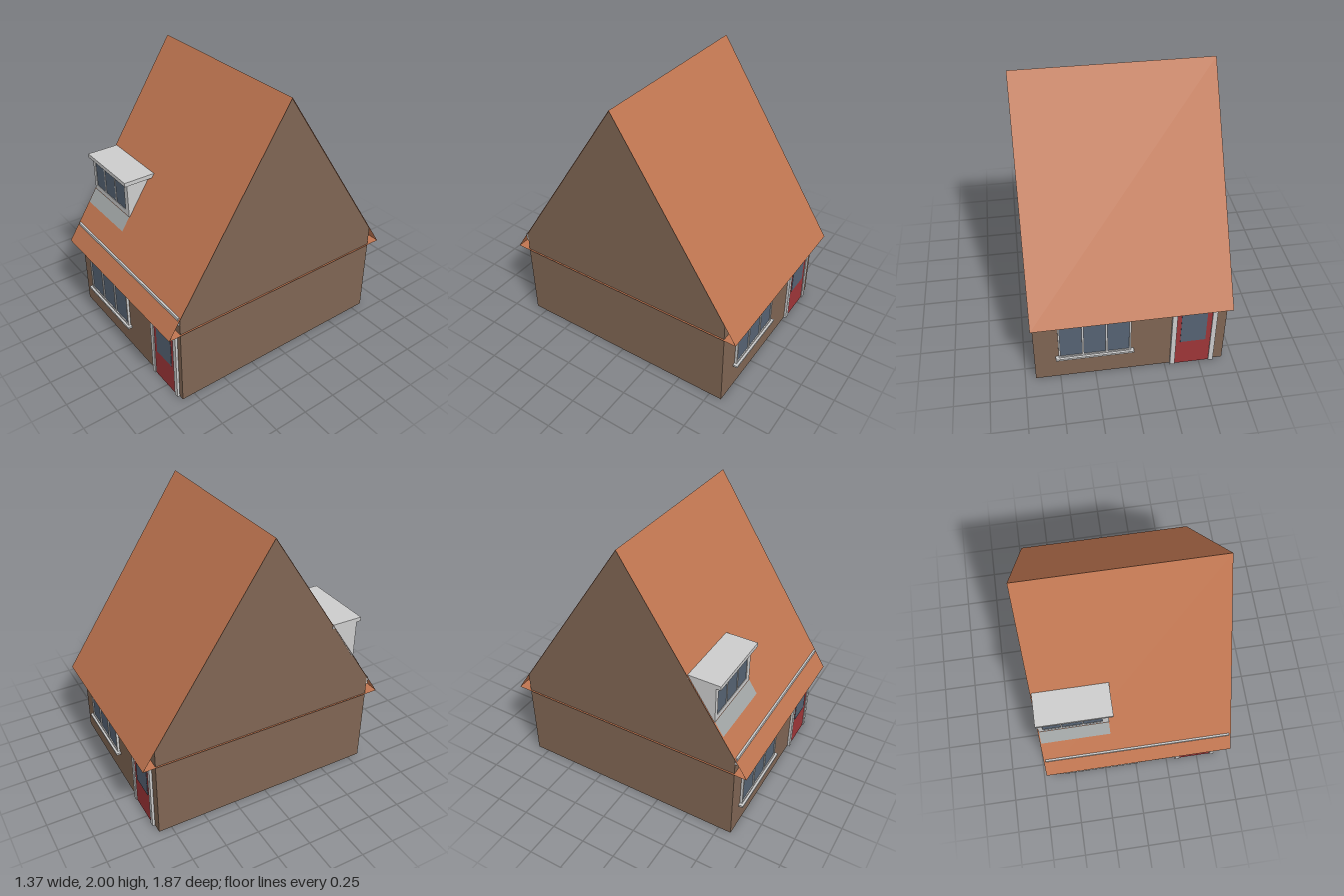
import * as THREE from 'three';

const mat = (color, side = THREE.FrontSide) =>
  new THREE.MeshStandardMaterial({ color, side, flatShading: true });
const WALL = mat(0x7f6553, THREE.DoubleSide);
const TILE = mat(0xbf7550, THREE.DoubleSide);
const TRIM = mat(0xcccccc);
const LEAD = mat(0xa0a4a4, THREE.DoubleSide);
const GLASS = mat(0x566373);
const RED = mat(0x9e3538);

// Main dimensions: half width, half depth, wall height, ridge height, eaves
const HW = 0.675, HD = 0.843, WALL_H = 0.72, RIDGE = 2, EAVES_Y = 0.58;
const SLOPE = (RIDGE - WALL_H) / HD;
const roofZ = (y) => (RIDGE - y) / SLOPE;

function add(parent, name, geometry, material) {
  const mesh = new THREE.Mesh(geometry, material);
  mesh.name = name;
  parent.add(mesh);
  return mesh;
}

function group(parent, name) {
  const g = new THREE.Group();
  g.name = name;
  parent.add(g);
  return g;
}

// Box given by its limits on each axis
function box(parent, name, material, [x0, x1], [y0, y1], [z0, z1]) {
  const geo = new THREE.BoxGeometry(x1 - x0, y1 - y0, z1 - z0);
  geo.translate((x0 + x1) / 2, (y0 + y1) / 2, (z0 + z1) / 2);
  return add(parent, name, geo, material);
}

// Thin flat panel through three or four corners
function sheet(parent, name, material, corners) {
  const geo = new THREE.BufferGeometry().setFromPoints(corners.map((c) => new THREE.Vector3(...c)));
  geo.setIndex(corners.length === 4 ? [0, 1, 2, 0, 2, 3] : [0, 1, 2]);
  geo.computeVertexNormals();
  return add(parent, name, geo, material);
}

function rectangle(Type, x0, x1, y0, y1) {
  const path = new Type();
  path.moveTo(x0, y0);
  path.lineTo(x1, y0);
  path.lineTo(x1, y1);
  path.lineTo(x0, y1);
  path.closePath();
  return path;
}

// Frame with one opening per pane, standing on the plane z
function paneledWindow(parent, xs, ys, paneXs, paneYs, z, depth) {
  const shape = rectangle(THREE.Shape, ...xs, ...ys);
  for (const p of paneXs) shape.holes.push(rectangle(THREE.Path, ...p, ...paneYs));
  const geo = new THREE.ExtrudeGeometry(shape, { depth, bevelEnabled: false });
  add(parent, 'windowFrame', geo.translate(0, 0, z), TRIM);
  for (const p of paneXs) box(parent, 'windowPane', GLASS, p, paneYs, [z, z + depth * 0.6]);
}

// Three equal panes between x0 and x1
function threePanes(x0, x1, border, bar) {
  const w = (x1 - x0 - 2 * border - 2 * bar) / 3;
  return [0, 1, 2].map((i) => {
    const left = x0 + border + i * (w + bar);
    return [left, left + w];
  });
}

// Window and door of one long wall, facing +z
function facade(parent, name, windowX, windowY, doorX) {
  const g = group(parent, name);
  const [x0, x1] = windowX, top = 0.568;
  paneledWindow(g, windowX, [windowY, top], threePanes(x0, x1, 0.012, 0.014),
    [windowY + 0.012, top - 0.015], HD, 0.018);
  box(g, 'windowSill', TRIM, [x0 - 0.022, x1 + 0.022], [windowY - 0.015, windowY], [HD, HD + 0.034]);

  const [d0, d1] = doorX, post = 0.034;
  box(g, 'doorPost', TRIM, [d0, d0 + post], [0, top], [HD, HD + 0.018]);
  box(g, 'doorPost', TRIM, [d1 - post, d1], [0, top], [HD, HD + 0.018]);
  box(g, 'doorLintel', TRIM, [d0 + post, d1 - post], [0.538, top], [HD, HD + 0.018]);
  box(g, 'door', RED, [d0 + post, d1 - post], [0, 0.538], [HD, HD + 0.01]);
  box(g, 'doorPane', GLASS, [d0 + 0.066, d1 - 0.07], [0.225, 0.5], [HD, HD + 0.013]);
  return g;
}

export function createModel() {
  const house = new THREE.Group();
  house.name = 'house';

  // Walls, open underneath, with a gable triangle on each side
  const walls = group(house, 'walls');
  for (const s of [-1, 1]) {
    sheet(walls, 'longWall', WALL,
      [[-s * HW, 0, s * HD], [s * HW, 0, s * HD], [s * HW, WALL_H, s * HD], [-s * HW, WALL_H, s * HD]]);
    sheet(walls, 'sideWall', WALL,
      [[s * HW, 0, s * HD], [s * HW, 0, -s * HD], [s * HW, WALL_H, -s * HD], [s * HW, WALL_H, s * HD]]);
    sheet(walls, 'gable', WALL,
      [[s * HW, WALL_H, s * HD], [s * HW, WALL_H, -s * HD], [s * HW, RIDGE, 0]]);
  }

  // Roof slopes with a flat underside at the eaves
  const roof = group(house, 'roof');
  const RW = 0.687, ez = roofZ(EAVES_Y);
  for (const s of [-1, 1]) {
    sheet(roof, 'roofSlope', TILE,
      [[-s * RW, EAVES_Y, s * ez], [s * RW, EAVES_Y, s * ez], [s * RW, RIDGE, 0], [-s * RW, RIDGE, 0]]);
  }
  sheet(roof, 'roofUnderside', TILE,
    [[-RW, EAVES_Y, -ez], [RW, EAVES_Y, -ez], [RW, EAVES_Y, ez], [-RW, EAVES_Y, ez]]);

  // Gutter along the front
  box(house, 'gutter', TRIM, [-0.673, 0.673], [0.66, 0.72], [HD, 0.857]);

  // Doors and windows, front and back
  facade(house, 'frontFacade', [-0.55, 0], 0.185, [0.32, 0.636]);
  facade(house, 'backFacade', [-0.505, 0], 0.21, [0.288, 0.605]).rotation.y = Math.PI;

  // Dormer: wedge body, window front, flat roof and sloping apron
  const dormer = group(house, 'dormer');
  const dx = [-0.678, -0.185], base = 0.96, top = 1.23, front = 0.688;
  const side = new THREE.Shape([[front - 0.01, base], [front - 0.01, top], [roofZ(top), top]]
    .map(([z, y]) => new THREE.Vector2(-z, y)));
  const body = new THREE.ExtrudeGeometry(side, { depth: dx[1] - dx[0], bevelEnabled: false });
  add(dormer, 'dormerBody', body.rotateY(Math.PI / 2).translate(dx[0], 0, 0), TRIM);
  paneledWindow(dormer, dx, [base, top], [[-0.645, -0.52], [-0.51, -0.37], [-0.36, -0.23]],
    [1.0, 1.19], front - 0.01, 0.01);
  box(dormer, 'dormerRoof', TRIM, [-0.678, -0.154], [top, 1.26], [roofZ(1.26), 0.72]);
  const a0 = 0.865, lift = 0.005;
  sheet(dormer, 'dormerApron', LEAD, [
    [dx[0], a0, roofZ(a0) + lift], [dx[1], a0, roofZ(a0) + lift],
    [dx[1], base, roofZ(base) + lift], [dx[0], base, roofZ(base) + lift]]);

  return house;
}
